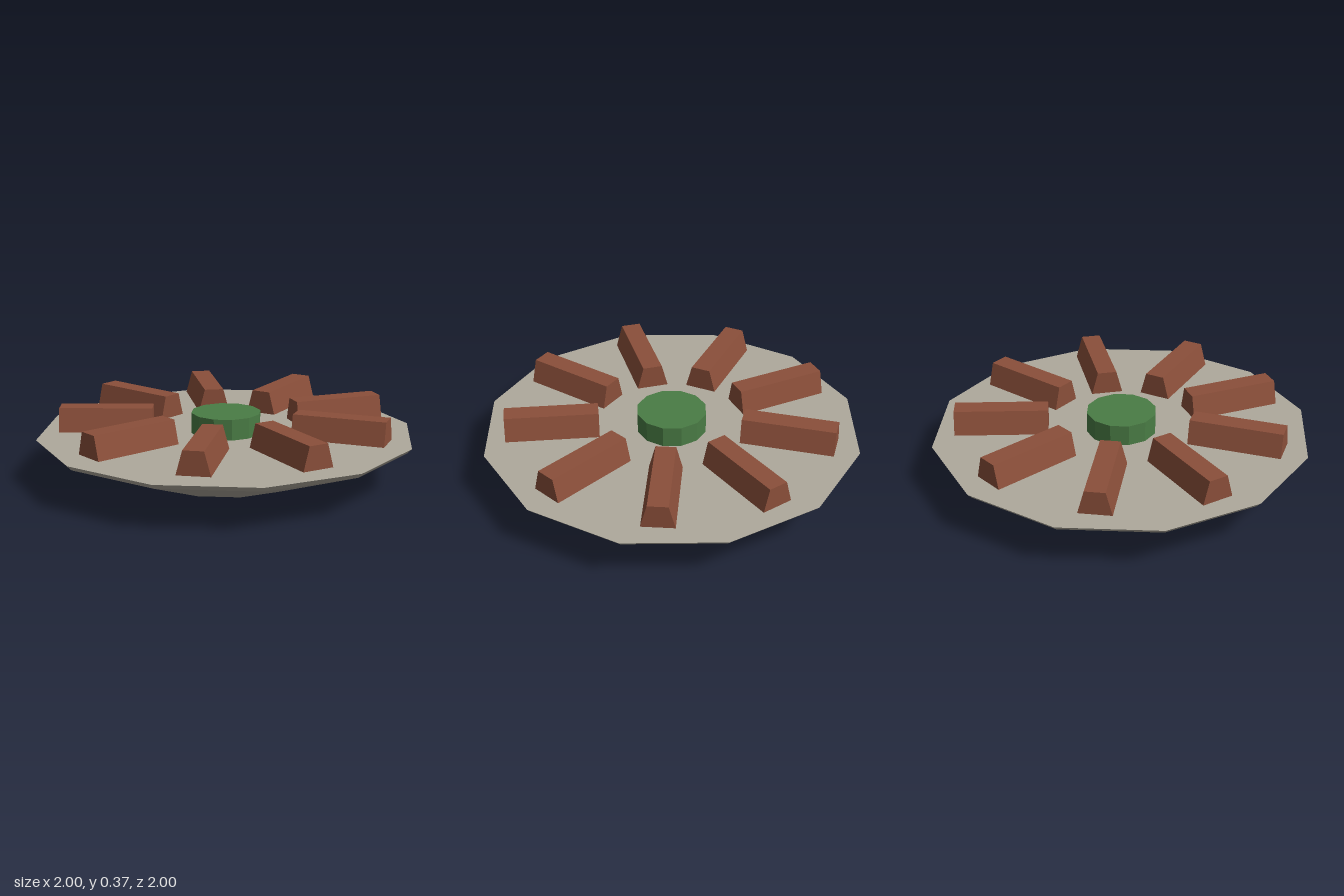
import * as THREE from 'three';

export function createModel() {
  const stone = new THREE.MeshStandardMaterial({ color: 0xaea99c, flatShading: true });
  stone.name = 'stone';
  const brick = new THREE.MeshStandardMaterial({ color: 0x8b4f3a, flatShading: true });
  brick.name = 'brick';
  const green = new THREE.MeshStandardMaterial({ color: 0x4a7c45, flatShading: true });
  green.name = 'green';

  const model = new THREE.Group();
  model.name = 'disc';
  const add = (name, geometry, material, parent = model) => {
    const mesh = new THREE.Mesh(geometry, material);
    mesh.name = name;
    parent.add(mesh);
    return mesh;
  };

  // Twelve-sided dish with a flat foot, a thin rim and a flat top
  const profile = [[0, 0], [0.42, 0], [0.975, 0.207], [1, 0.233], [0, 0.233]];
  add('dish', new THREE.LatheGeometry(profile.map(([r, y]) => new THREE.Vector2(r, y)), 12), stone);

  // Central hub
  add('hub', new THREE.CylinderGeometry(0.185, 0.185, 0.11, 12).translate(0, 0.288, 0), green);

  // Nine radial bars with a trapezoid section, hovering just above the dish
  const section = new THREE.Shape([[-0.085, 0.25], [0.085, 0.25], [0.052, 0.373], [-0.052, 0.373]]
    .map(([x, y]) => new THREE.Vector2(x, y)));
  const barGeometry = new THREE.ExtrudeGeometry(section, { depth: 0.49, bevelEnabled: false });
  barGeometry.translate(0, 0, 0.385).rotateY(Math.PI / 2);
  const bars = new THREE.Group();
  bars.name = 'bars';
  model.add(bars);
  for (let i = 0; i < 9; i++) {
    add('bar', barGeometry, brick, bars).rotation.y = (i * Math.PI * 2) / 9;
  }

  return model;
}
